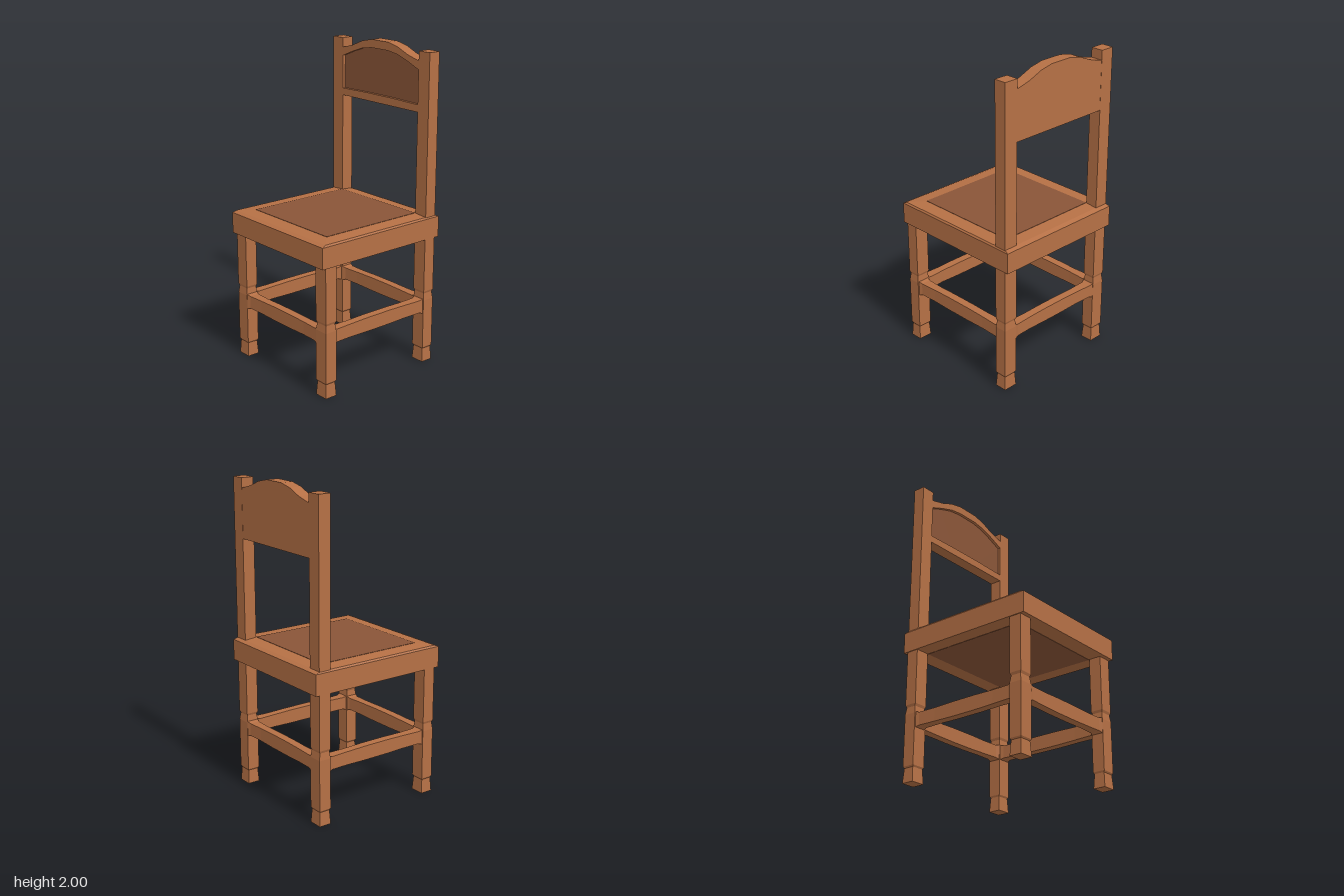
import * as THREE from 'three';

const wood = new THREE.MeshStandardMaterial({ color: 0xb57045, flatShading: true });
const darkWood = new THREE.MeshStandardMaterial({ color: 0x8a5538, flatShading: true });

// Rectangular loft along y: each section is [y, halfX, halfZ]
function loft(sections) {
  const n = sections.length - 1;
  const geo = new THREE.BoxGeometry(2, 1, 2, 1, n, 1);
  const p = geo.attributes.position;
  for (let i = 0; i < p.count; i++) {
    const [y, hx, hz] = sections[Math.round((p.getY(i) + 0.5) * n)];
    p.setXYZ(i, p.getX(i) * hx, y, p.getZ(i) * hz);
  }
  geo.computeVertexNormals();
  return geo;
}

// Extruded outline spanning z0..z1
function slab(points, z0, z1) {
  const shape = new THREE.Shape(points.map(([x, y]) => new THREE.Vector2(x, y)));
  return new THREE.ExtrudeGeometry(shape, { depth: z1 - z0, bevelEnabled: false }).translate(0, 0, z0);
}

// Full curve, left to right, from its right-hand half
const mirrored = half => [...half.map(([x, y]) => [-x, y]), ...half.slice().reverse()];

export function createModel() {
  const chair = new THREE.Group();
  chair.name = 'chair';
  const add = (name, geo, mat = wood) => {
    const mesh = new THREE.Mesh(geo, mat);
    mesh.name = name;
    chair.add(mesh);
    return mesh;
  };

  const lx = 0.391, lz = 0.398, hx = 0.046, hz = 0.04;

  // Legs with a flared foot and a small neck; the rear pair runs up into the back
  const profile = [[0, 0], [0.09, -0.006], [0.1, 0], [0.42, 0], [0.465, -0.006], [0.48, 0]];
  for (const sx of [1, -1]) {
    for (const sz of [1, -1]) {
      const top = sz > 0 ? 0.9 : 1.98;
      const sections = [...profile, [top, 0]].map(([y, d]) => [y, hx + d, hz + d]);
      const name = (sx > 0 ? 'left' : 'right') + (sz > 0 ? 'FrontLeg' : 'BackPost');
      add(name, loft(sections)).position.set(sx * lx, 0, sz * lz);
    }
  }

  // Stretchers: slightly swollen in the middle, flared where they meet the legs
  const stretcher = length => {
    const half = [[0.5, 0.05, 0.04], [0.46, 0.041, 0.032], [0.3, 0.042, 0.027], [0.12, 0.045, 0.027]];
    const sections = [...half.map(([t, a, b]) => [-t * length, a, b]),
      ...half.slice().reverse().map(([t, a, b]) => [t * length, a, b])];
    return loft(sections).rotateZ(Math.PI / 2).translate(0, 0.379, 0);
  };
  for (const s of [1, -1]) {
    add(s > 0 ? 'frontStretcher' : 'backStretcher', stretcher(0.7)).position.z = s * lz;
    add(s > 0 ? 'leftStretcher' : 'rightStretcher', stretcher(0.73).rotateY(Math.PI / 2)).position.x = s * lx;
  }

  // Seat with chamfered edge and inset panels above and below
  add('seat', loft([[0.825, 0.443, 0.465], [0.957, 0.443, 0.465], [0.968, 0.435, 0.437], [0.975, 0.345, 0.355]]));
  add('seatPanel', new THREE.BoxGeometry(0.69, 0.004, 0.71).translate(0, 0.975, -0.001), darkWood);
  add('seatUnderside', new THREE.BoxGeometry(0.69, 0.004, 0.71).translate(0, 0.825, 0), darkWood);

  // Back rest: solid board, with arched top and bottom rails framing a recessed panel
  const crest = mirrored([[0.346, 1.92], [0.25, 1.945], [0.16, 1.982], [0.075, 2]]);
  const arch = mirrored([[0.346, 1.866], [0.25, 1.905], [0.16, 1.935], [0.075, 1.948]]);
  const sill = mirrored([[0.346, 1.655], [0.12, 1.66]]);
  const back = -0.437, recess = -0.38, front = -0.359;
  add('backBoard', slab([[0.346, 1.61], ...crest.slice().reverse(), [-0.346, 1.61]], back, recess));
  add('crestRail', slab([...crest, ...arch.slice().reverse()], recess, front));
  add('lowerRail', slab([...sill, [0.346, 1.61], [-0.346, 1.61]], recess, front));
  add('backPanel', slab([...arch, ...sill.slice().reverse()], recess - 0.002, recess + 0.002), darkWood);

  return chair;
}
